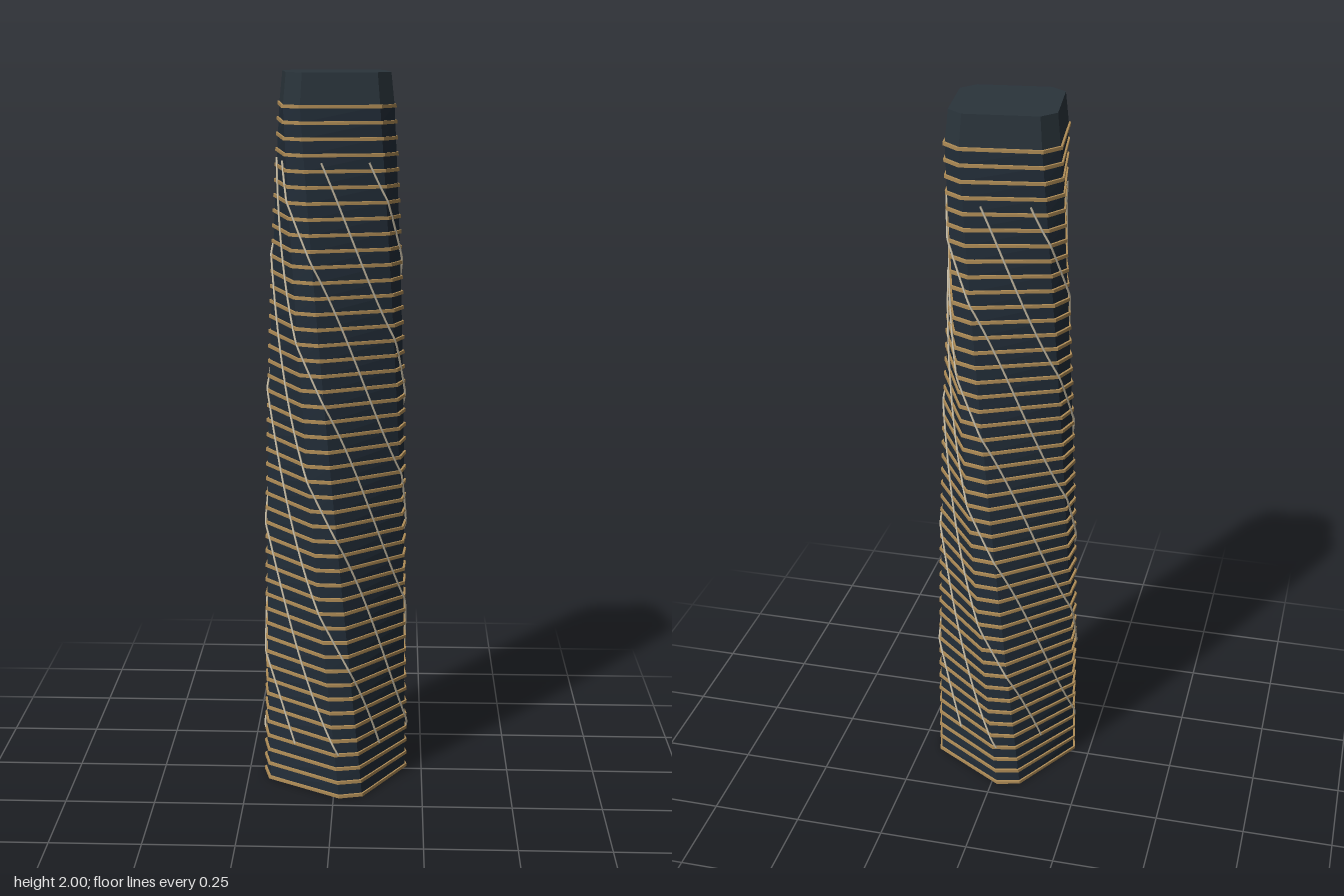
import * as THREE from 'three';

const RAD = Math.PI / 180;
const HALF_CHAMFER = 9.5;            // half angle of each cut corner, degrees
const CROWN_Y = 1.915;               // where twisting stops and the crown begins
const FLOOR = 0.0415;
const FLOORS = 46;

// Corner direction and face distance of the tower at a height
const cornerAngle = (y) => 76 + 27.5 * Math.min(y, CROWN_Y);
const faceDistance = (y) => 0.164 - 0.0092 * y;
const cornerRadius = (a) => a / Math.cos((45 - HALF_CHAMFER) * RAD);

const polar = (deg, r, y) => new THREE.Vector3(r * Math.cos(deg * RAD), y, r * Math.sin(deg * RAD));

// Square cross-section with cut corners
function section(y, apothem) {
  const pts = [];
  for (let k = 0; k < 4; k++) {
    for (const s of [-1, 1]) {
      pts.push(polar(cornerAngle(y) + k * 90 + s * HALF_CHAMFER, cornerRadius(apothem), y));
    }
  }
  return pts;
}

// Flat-sided skin through a stack of cross-sections, closed at both ends
function loft(sections) {
  const pos = [];
  const tri = (...ps) => ps.forEach((p) => pos.push(p.x, p.y, p.z));
  for (let i = 0; i < sections.length - 1; i++) {
    const lo = sections[i], hi = sections[i + 1];
    for (let j = 0; j < lo.length; j++) {
      const n = (j + 1) % lo.length;
      tri(lo[j], hi[j], lo[n]);
      tri(lo[n], hi[j], hi[n]);
    }
  }
  const bottom = sections[0], top = sections[sections.length - 1];
  for (let j = 1; j < top.length - 1; j++) {
    tri(top[0], top[j + 1], top[j]);
    tri(bottom[0], bottom[j], bottom[j + 1]);
  }
  const g = new THREE.BufferGeometry();
  g.setAttribute('position', new THREE.Float32BufferAttribute(pos, 3));
  g.computeVertexNormals();
  return g;
}

// Distance from the axis to the facade in a given direction
function facadeRadius(deg, y) {
  const a = faceDistance(y);
  const cut = cornerRadius(a) * Math.cos(HALF_CHAMFER * RAD);
  let r = Infinity;
  for (let k = 0; k < 8; k++) {
    const c = Math.cos((deg - cornerAngle(y) - k * 45) * RAD);
    if (c > 0.01) r = Math.min(r, (k % 2 ? a : cut) / c);
  }
  return r;
}

export function createModel() {
  const glass = new THREE.MeshStandardMaterial({ color: 0x222d38 });
  glass.name = 'dark glass';
  const metal = new THREE.MeshStandardMaterial({ color: 0x2a343b });
  metal.name = 'dark metal';
  const bronze = new THREE.MeshStandardMaterial({ color: 0xb08d57 });
  bronze.name = 'bronze';
  const pale = new THREE.MeshStandardMaterial({ color: 0xcfc4ac });
  pale.name = 'pale trim';

  const model = new THREE.Group();
  model.name = 'twistedTower';
  const add = (name, geometry, material, parent = model) => {
    const mesh = new THREE.Mesh(geometry, material);
    mesh.name = name;
    parent.add(mesh);
  };

  // Twisting, slightly tapering body
  const levels = [];
  for (let i = 0; i <= FLOORS; i++) {
    const y = (i / FLOORS) * CROWN_Y;
    levels.push(section(y, faceDistance(y)));
  }
  add('towerBody', loft(levels), glass);

  // Plain crown narrowing to the flat roof
  add('crown', loft([section(CROWN_Y, faceDistance(CROWN_Y)), section(2, 0.138)]), metal);

  // Thin floor bands
  const bands = new THREE.Group();
  bands.name = 'floorBands';
  model.add(bands);
  for (let i = 0; i <= FLOORS; i++) {
    const y = i * FLOOR;
    const a = faceDistance(y) + 0.005;
    add('floorBand', loft([section(y, a), section(y + 0.009, a)]), bronze, bands);
  }

  // Eight slender ribs winding around the facade
  const ribs = new THREE.Group();
  ribs.name = 'spiralRibs';
  model.add(ribs);
  for (let k = 0; k < 8; k++) {
    const path = [];
    for (let i = 0; i <= 80; i++) {
      const y = 0.13 + (1.64 * i) / 80;
      const deg = 88 + 146.5 * (y - 0.45) + k * 45;
      path.push(polar(deg, facadeRadius(deg, y) + 0.006, y));
    }
    const curve = new THREE.CatmullRomCurve3(path);
    add('spiralRib', new THREE.TubeGeometry(curve, 160, 0.003, 5), pale, ribs);
  }

  return model;
}
